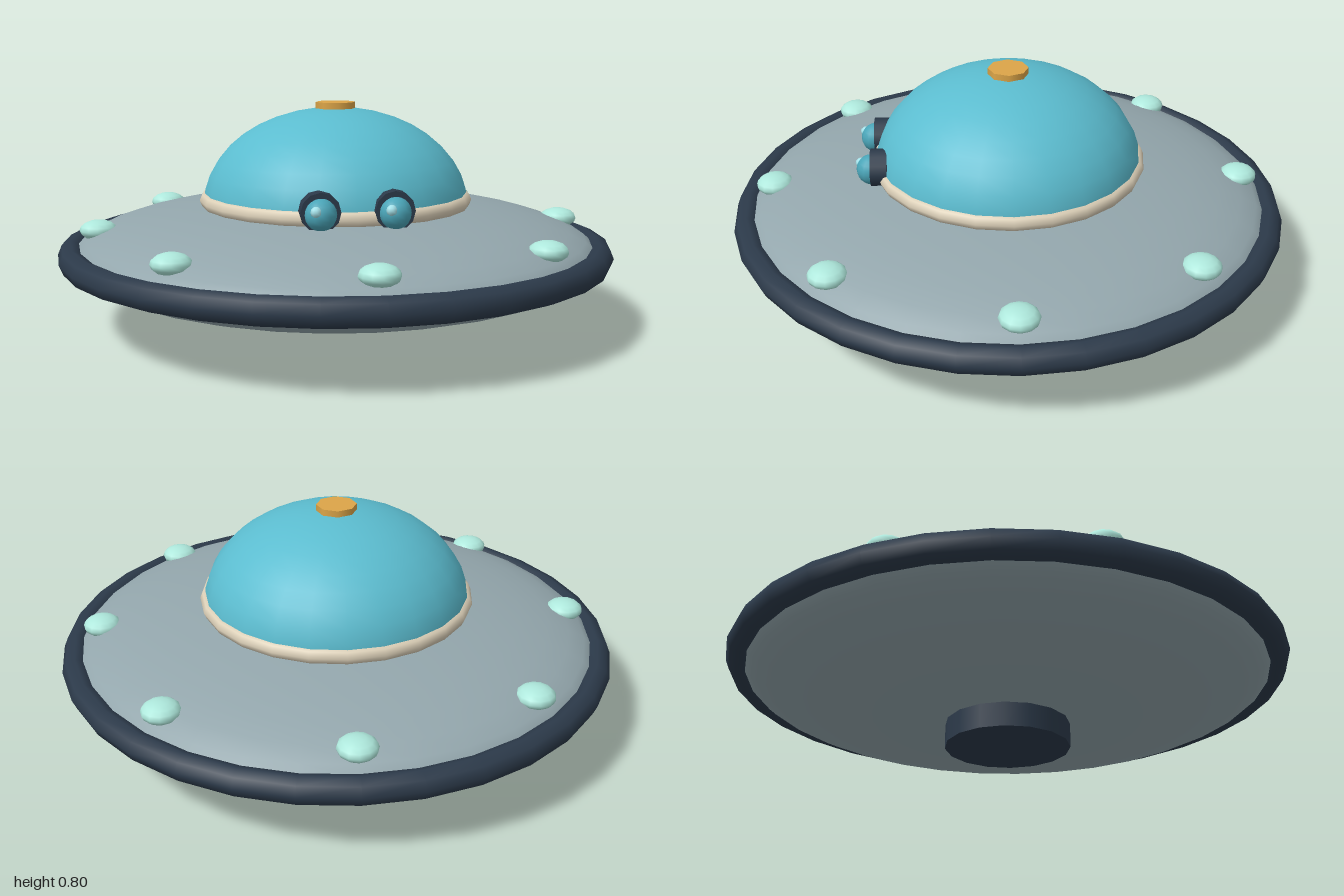
import * as THREE from 'three';

const mat = (color) => new THREE.MeshStandardMaterial({ color });
const hullMat = mat(0x93a6ac);
const darkMat = mat(0x2c3a4a);
const domeMat = mat(0x5bbccf);
const creamMat = mat(0xdcd0b8);
const lampMat = mat(0xaee8dc);
const goldMat = mat(0xdca548);
const lensMat = mat(0x4aa5b8);
const glintMat = mat(0xa5e2ea);

function add(parent, name, geometry, material, x = 0, y = 0, z = 0) {
  const mesh = new THREE.Mesh(geometry, material);
  mesh.name = name;
  mesh.position.set(x, y, z);
  parent.add(mesh);
  return mesh;
}

export function createModel() {
  const model = new THREE.Group();
  model.name = 'flyingSaucer';

  // Flattened saucer body with a thick bumper round its edge
  add(model, 'hull', new THREE.SphereGeometry(0.95, 32, 20), hullMat, 0, 0.27, 0).scale.y = 0.2;
  add(model, 'rim', new THREE.TorusGeometry(0.952, 0.048, 8, 32).rotateX(Math.PI / 2), darkMat, 0, 0.273, 0);

  // Landing base below
  add(model, 'base', new THREE.CylinderGeometry(0.222, 0.222, 0.12, 16), darkMat, 0, 0.06, 0);

  // Cockpit dome, its collar and top cap
  const dome = new THREE.SphereGeometry(0.48, 24, 10, 0, Math.PI * 2, 0, Math.PI / 2);
  add(model, 'dome', dome, domeMat, 0, 0.44, 0).scale.y = 0.72;
  add(model, 'collar', new THREE.TorusGeometry(0.465, 0.03, 8, 24).rotateX(Math.PI / 2), creamMat, 0, 0.455, 0);
  add(model, 'cap', new THREE.CylinderGeometry(0.072, 0.072, 0.035, 8), goldMat, 0, 0.787, 0);

  // Ring of flattened lamps
  const lampGeometry = new THREE.SphereGeometry(0.067, 12, 8);
  for (let i = 0; i < 8; i++) {
    const a = (i * Math.PI) / 4;
    const lamp = add(model, 'lamp', lampGeometry, lampMat, Math.sin(a) * 0.855, 0.358, Math.cos(a) * 0.855);
    lamp.scale.y = 0.54;
  }

  // Two eyes: dark socket, bulging lens and a small glint
  for (const side of [-1, 1]) {
    const eye = new THREE.Group();
    eye.name = side > 0 ? 'leftEye' : 'rightEye';
    eye.position.set(side * 0.123, 0.483, 0.46);
    add(eye, 'socket', new THREE.CylinderGeometry(0.067, 0.067, 0.06, 12).rotateX(Math.PI / 2), darkMat);
    add(eye, 'lens', new THREE.SphereGeometry(0.054, 12, 10), lensMat, 0, -0.006, 0.027);
    add(eye, 'glint', new THREE.SphereGeometry(0.019, 8, 6), glintMat, -0.02, 0.009, 0.066);
    model.add(eye);
  }

  return model;
}
